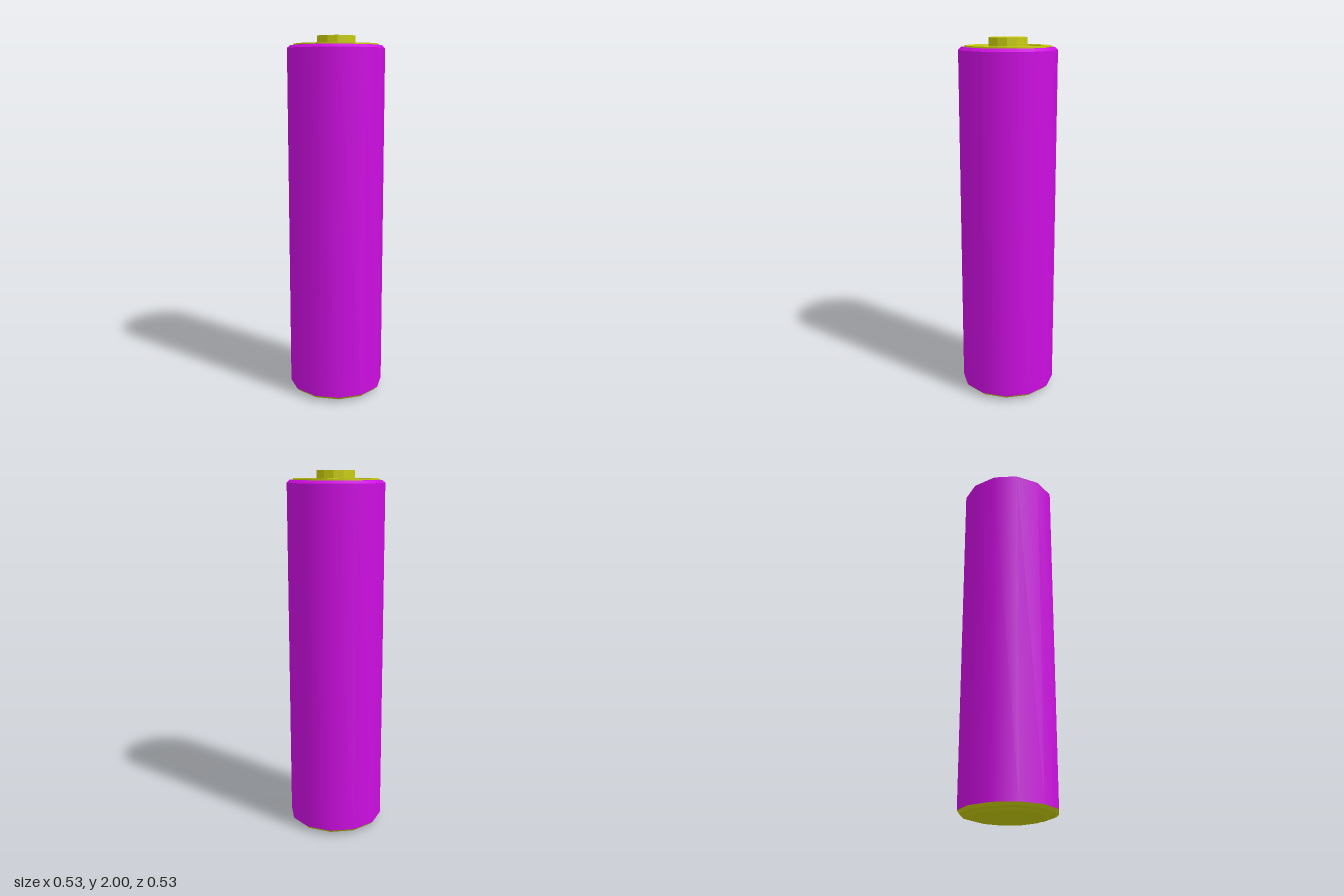
import * as THREE from 'three';
import { mergeGeometries } from 'three/addons/utils/BufferGeometryUtils.js';

const SIDES = 12;

// Revolve a profile (bottom to top), smooth around the axis, sharp at every profile point.
function turned(name, color, profile, flatShading = false) {
  const bands = [];
  for (let i = 0; i < profile.length - 1; i++) {
    const pair = [profile[i], profile[i + 1]].map(([r, y]) => new THREE.Vector2(r, y));
    bands.push(new THREE.LatheGeometry(pair, SIDES));
  }
  const material = new THREE.MeshStandardMaterial({ color, flatShading });
  const mesh = new THREE.Mesh(mergeGeometries(bands), material);
  mesh.name = name;
  return mesh;
}

export function createModel() {
  const group = new THREE.Group();
  group.name = 'battery';
  const purple = 0xcc0ee0, yellow = 0xc8cc0e;

  // Wrapped casing with a bevelled upper lip
  group.add(turned('casing', purple, [
    [0.265, 0.03], [0.265, 1.935], [0.248, 1.95], [0.23, 1.95],
  ]));

  // Negative end: bevelled rim and slightly raised flat contact
  group.add(turned('bottomCap', yellow, [
    [0, 0], [0.2, 0], [0.22, 0.012], [0.248, 0.014], [0.265, 0.03],
  ]));

  // Positive end: raised ring around a shallow recess
  group.add(turned('topCap', yellow, [
    [0.23, 1.95], [0.23, 1.958], [0.19, 1.958], [0.188, 1.95], [0.1, 1.95],
  ]));

  // Positive terminal
  group.add(turned('terminal', yellow, [
    [0.103, 1.95], [0.103, 2], [0, 2],
  ], true));

  return group;
}
